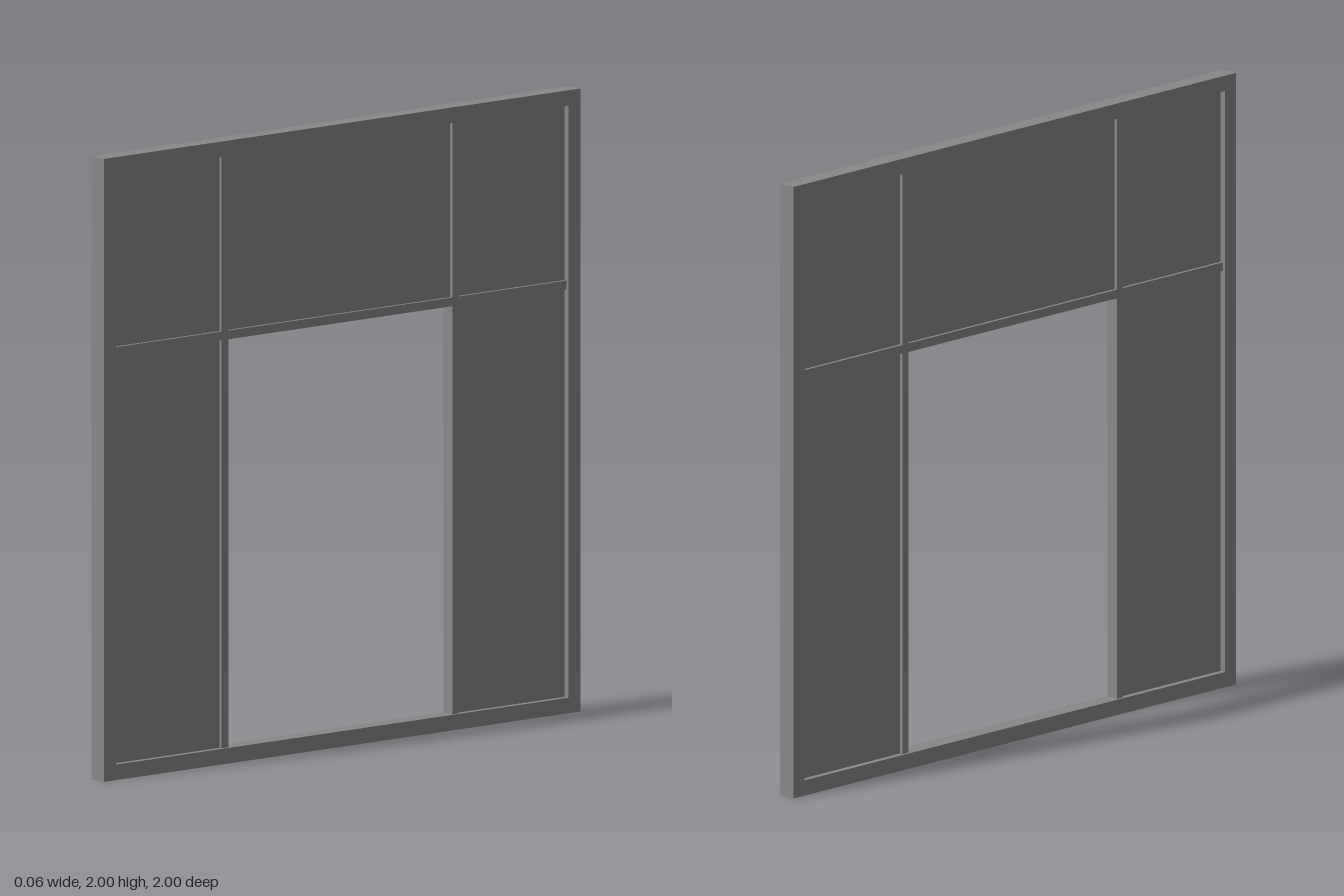
import * as THREE from 'three';

export function createModel() {
  const group = new THREE.Group();
  group.name = 'framedPartition';
  const material = new THREE.MeshStandardMaterial({ color: 0x888888, flatShading: true });

  // Box spanning y0..y1 and z0..z1, centred on x = 0
  const slab = (name, depth, y0, y1, z0, z1) => {
    const mesh = new THREE.Mesh(new THREE.BoxGeometry(depth, y1 - y0, z1 - z0), material);
    mesh.position.set(0, (y0 + y1) / 2, (z0 + z1) / 2);
    mesh.name = name;
    group.add(mesh);
  };

  const frameDepth = 0.06, barDepth = 0.042, panelDepth = 0.02;
  const inner = 0.95, top = 1.95, bottom = 0.05;
  const jambIn = 0.47, jambOut = 0.498;
  const barLow = 1.36, barHigh = 1.388;

  // Outer frame: one ring with a rectangular hole
  const outline = new THREE.Shape([[-1, 0], [1, 0], [1, 2], [-1, 2]].map(p => new THREE.Vector2(...p)));
  outline.holes.push(new THREE.Path(
    [[-inner, bottom], [-inner, top], [inner, top], [inner, bottom]].map(p => new THREE.Vector2(...p))));
  const ring = new THREE.ExtrudeGeometry(outline, { depth: frameDepth, bevelEnabled: false });
  ring.translate(0, 0, -frameDepth / 2).rotateY(Math.PI / 2);
  const frame = new THREE.Mesh(ring, material);
  frame.name = 'outerFrame';
  group.add(frame);

  // Transom bar across the full width, above the doorway
  slab('transomBar', barDepth, barLow, barHigh, -inner, inner);

  // Uprights and side panels, mirrored front to back
  for (const [side, s] of [['front', 1], ['back', -1]]) {
    const span = (a, b) => (s > 0 ? [a, b] : [-b, -a]);
    for (const [level, y0, y1] of [['Lower', bottom, barLow], ['Upper', barHigh, top]]) {
      slab(`${side}${level}Mullion`, barDepth, y0, y1, ...span(jambIn, jambOut));
      slab(`${side}${level}Panel`, panelDepth, y0, y1, ...span(jambOut, inner));
    }
  }

  // Panel over the doorway
  slab('overdoorPanel', panelDepth, barHigh, top, -jambIn, jambIn);

  return group;
}
